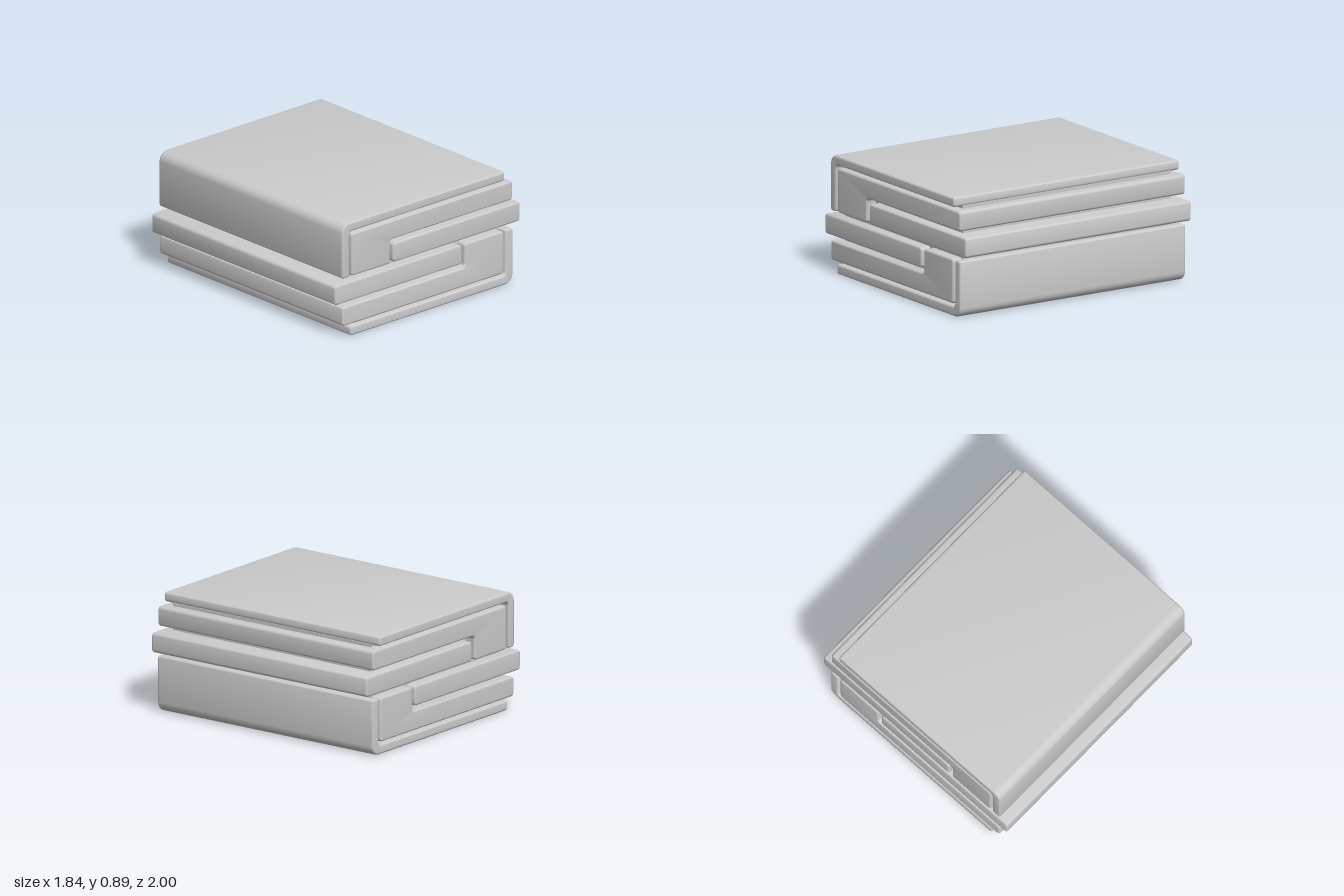
import * as THREE from 'three';
import { toCreasedNormals } from 'three/addons/utils/BufferGeometryUtils.js';

const material = new THREE.MeshStandardMaterial({ color: 0xcccccc });
const MID = 0.447; // height of the half-turn symmetry axis

// Polygon with a rounded corner at each point: [x, y, radius]
function roundedShape(points) {
  const shape = new THREE.Shape();
  const k = 1 - 0.5523;
  const n = points.length;
  points.forEach(([x, y, r], i) => {
    const corner = new THREE.Vector2(x, y);
    const toward = (p, d) => new THREE.Vector2(p[0], p[1]).sub(corner).setLength(d).add(corner);
    const prev = points[(i + n - 1) % n];
    const next = points[(i + 1) % n];
    const a = toward(prev, r);
    const b = toward(next, r);
    const c1 = toward(prev, r * k);
    const c2 = toward(next, r * k);
    if (i === 0) shape.moveTo(a.x, a.y);
    else shape.lineTo(a.x, a.y);
    shape.bezierCurveTo(c1.x, c1.y, c2.x, c2.y, b.x, b.y);
  });
  shape.closePath();
  return shape;
}

// Profile run along z over the whole depth, with softened end edges
function slab(name, points) {
  const bevel = 0.015;
  const geometry = new THREE.ExtrudeGeometry(roundedShape(points), {
    depth: 2 - 2 * bevel, curveSegments: 6,
    bevelThickness: bevel, bevelSize: bevel, bevelOffset: -bevel, bevelSegments: 4,
  });
  geometry.translate(0, 0, -1 + bevel);
  const mesh = new THREE.Mesh(toCreasedNormals(geometry, 0.5), material);
  mesh.name = name;
  return mesh;
}

// Three interlocking profiles of the upper half
function createHalf(name) {
  const half = new THREE.Group();
  half.name = name;
  half.add(
    slab('outerCover', [
      [-0.846, 0.466, 0.02], [-0.773, 0.466, 0.02], [-0.773, 0.821, 0.03],
      [0.765, 0.821, 0.02], [0.765, 0.894, 0.02], [-0.846, 0.894, 0.075],
    ]),
    slab('middleHook', [
      [-0.753, 0.466, 0.025], [-0.37, 0.466, 0.025], [-0.37, 0.652, 0.03],
      [0.842, 0.652, 0.025], [0.842, 0.802, 0.025], [-0.753, 0.802, 0.025],
    ]),
    slab('innerBar', [
      [-0.34, 0.466, 0.025], [0.918, 0.466, 0.025],
      [0.918, 0.618, 0.025], [-0.34, 0.618, 0.025],
    ]),
  );
  half.children.forEach((part) => { part.position.y = -MID; });
  half.position.y = MID;
  return half;
}

export function createModel() {
  const model = new THREE.Group();
  model.name = 'interlockingBox';

  const upper = createHalf('upperHalf');
  const lower = createHalf('lowerHalf');
  lower.rotation.z = Math.PI;
  model.add(upper, lower);

  // Recessed core showing in the gaps between the slabs
  const core = new THREE.Mesh(new THREE.BoxGeometry(1.53, 0.76, 1.84), material);
  core.name = 'core';
  core.position.y = MID;
  model.add(core);

  return model;
}
